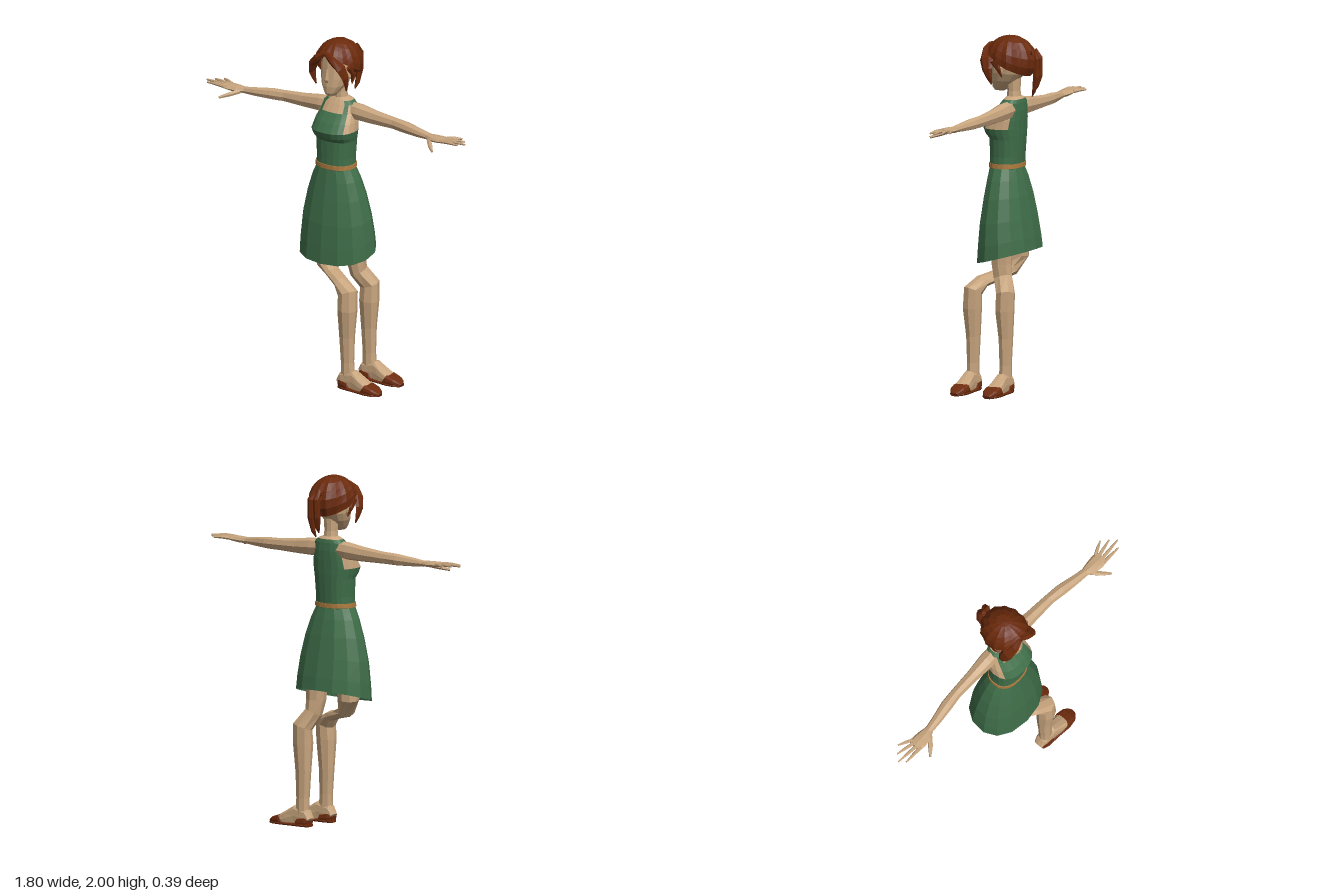
import * as THREE from 'three';

const V = (x, y, z) => new THREE.Vector3(x, y, z);
const pw = (v, p) => Math.sign(v) * Math.abs(v) ** p;

// Faceted surface over a list of equal rings; keep(angle, row) picks quads
function loft(rings, caps = true, keep = () => true) {
  const pos = [], n = rings[0].length;
  const tri = (...p) => p.forEach(v => pos.push(v.x, v.y, v.z));
  for (let k = 0; k < rings.length - 1; k++) {
    for (let i = 0; i < n; i++) {
      if (!keep(((i + 0.5) / n) * 360, k)) continue;
      const j = (i + 1) % n, [a, b, c, d] = [rings[k][i], rings[k][j], rings[k + 1][j], rings[k + 1][i]];
      tri(a, b, c);
      tri(a, c, d);
    }
  }
  if (caps) {
    [rings[0], rings[rings.length - 1]].forEach((r, e) => {
      const m = r.reduce((s, p) => s.add(p), V(0, 0, 0)).divideScalar(n);
      for (let i = 0; i < n; i++) {
        const j = (i + 1) % n;
        if (e) tri(m, r[i], r[j]); else tri(m, r[j], r[i]);
      }
    });
  }
  const g = new THREE.BufferGeometry();
  g.setAttribute('position', new THREE.Float32BufferAttribute(pos, 3));
  g.computeVertexNormals();
  return g;
}

// Limb along points [x, y, z, zRadius, otherRadius]; side mirrors x
function limb(pts, n = 8, side = 1, power = 0.9) {
  const c = pts.map(p => V(p[0] * side, p[1], p[2]));
  return loft(pts.map((p, k) => {
    const t = c[Math.min(k + 1, c.length - 1)].clone().sub(c[Math.max(k - 1, 0)]).normalize();
    const a = V(0, 0, 1).addScaledVector(t, -t.z).normalize();
    const b = t.clone().cross(a);
    return Array.from({ length: n }, (_, i) => {
      const w = (i / n) * Math.PI * 2;
      return c[k].clone().addScaledVector(a, p[3] * pw(Math.cos(w), power))
        .addScaledVector(b, p[4] * pw(Math.sin(w), power));
    });
  }));
}

// Horizontal rings [y, halfWidth, zFront, zBack], listed bottom to top
const stack = (rows, n, power = 0.85, slope = 0) => rows.map(([y, hx, zf, zb], k) =>
  Array.from({ length: n }, (_, i) => {
    const w = (i / n) * Math.PI * 2;
    const z = (zf + zb) / 2 + ((zf - zb) / 2) * pw(Math.cos(w), power);
    return V(hx * pw(Math.sin(w), power), y - z * slope * (1 - k / (rows.length - 1)), z);
  }));

export function createModel() {
  const root = new THREE.Group();
  root.name = 'woman';
  const mat = (name, color, side = THREE.FrontSide) =>
    Object.assign(new THREE.MeshStandardMaterial({ color, side, flatShading: true }), { name });
  const skin = mat('skin', 0xc8a57e);
  const dress = mat('dress green', 0x3f6e49, THREE.DoubleSide);
  const hair = mat('hair brown', 0x6b2a0b, THREE.DoubleSide);
  const shoe = mat('shoe brown', 0x6e2c0e);
  const tan = mat('belt tan', 0xb07c40);
  const add = (name, geo, m) => {
    const mesh = new THREE.Mesh(geo, m);
    mesh.name = name;
    root.add(mesh);
    return mesh;
  };

  // Torso: one surface split into bodice and bare skin
  const torso = stack([
    [1.25, 0.115, 0.105, -0.072], [1.32, 0.112, 0.104, -0.076], [1.42, 0.118, 0.105, -0.082],
    [1.445, 0.125, 0.128, -0.084], [1.48, 0.132, 0.142, -0.085], [1.53, 0.125, 0.11, -0.087],
    [1.58, 0.112, 0.065, -0.087], [1.625, 0.102, 0.035, -0.083], [1.645, 0.08, 0.02, -0.078],
    [1.66, 0.042, 0.008, -0.064],
  ], 20);
  const clothed = (deg, k) => {
    const a = deg > 180 ? 360 - deg : deg;
    if (k >= 8) return false;
    if (a < 36 && k >= 6) return false;
    return !(a > 54 && a < 126 && k >= 4 && k <= 6);
  };
  add('bodice', loft(torso, false, clothed), dress);
  add('chest and shoulders', loft(torso, false, (a, k) => !clothed(a, k)), skin);
  add('neck', loft(stack([[1.64, 0.044, 0.012, -0.066], [1.69, 0.038, 0.01, -0.06], [1.78, 0.04, 0.02, -0.065]], 10)), skin);

  // Skirt with a hem that rises to the back, and belt
  add('skirt', loft(stack([
    [0.755, 0.232, 0.166, -0.165], [0.84, 0.228, 0.16, -0.155], [0.96, 0.214, 0.15, -0.136],
    [1.09, 0.184, 0.132, -0.113], [1.19, 0.15, 0.116, -0.09], [1.26, 0.115, 0.105, -0.072],
  ], 14, 0.9, 0.27), false), dress);
  add('belt', loft(stack([[1.257, 0.12, 0.109, -0.077], [1.282, 0.119, 0.109, -0.077]], 20)), tan);

  // Head
  add('head', loft(stack([
    [1.685, 0.022, 0.092, 0.03], [1.705, 0.04, 0.104, 0], [1.745, 0.066, 0.107, -0.05],
    [1.79, 0.082, 0.104, -0.09], [1.85, 0.088, 0.1, -0.11], [1.92, 0.085, 0.092, -0.1], [1.97, 0.05, 0.05, -0.06],
  ], 14, 0.9)), skin);
  add('nose', limb([[0, 1.845, 0.099, 0.006, 0.007], [0, 1.785, 0.107, 0.013, 0.014], [0, 1.768, 0.101, 0.006, 0.01]], 6), skin);
  for (const s of [1, -1]) {
    add('ear', limb([[0.082, 1.77, 0.022, 0.008, 0.008], [0.09, 1.8, 0.018, 0.017, 0.01], [0.09, 1.83, 0.012, 0.018, 0.01]], 6, s), skin);
  }

  // Hair cap: ridged dome whose lower edge drops from the parting to the nape
  const n = 28, rows = 7;
  const cap = Array.from({ length: rows + 1 }, (_, k) => Array.from({ length: n }, (_, i) => {
    const w = (i / n) * Math.PI * 2, back = (1 - Math.cos(w)) / 2;
    const low = back < 0.5 ? 0.5 - back * 1.3 : -0.15 - (back - 0.5) * 0.95;
    const e = low + (Math.PI / 2 - low) * Math.max(0, k - 1) / (rows - 1);
    const r = Math.cos(e) * (k === 0 ? 0.72 : i % 2 ? 0.96 : 1.01);
    return V(0.13 * r * Math.sin(w), 1.86 + 0.14 * Math.sin(e), -0.006 + 0.15 * r * Math.cos(w));
  }));
  add('hair cap', loft(cap, false), hair);

  // Side locks and ponytail strands
  for (const s of [1, -1]) {
    add('front lock', limb([
      [0.005, 1.945, 0.115, 0.014, 0.014], [0.05, 1.915, 0.122, 0.022, 0.022], [0.094, 1.87, 0.1, 0.038, 0.022],
      [0.115, 1.815, 0.085, 0.03, 0.013], [0.113, 1.77, 0.073, 0.018, 0.009], [0.105, 1.73, 0.062, 0.004, 0.003],
    ], 6, s), hair);
    add('side lock', limb([
      [0.112, 1.87, 0.04, 0.03, 0.014], [0.113, 1.82, 0.015, 0.014, 0.009], [0.1, 1.775, 0.0, 0.004, 0.003],
    ], 6, s), hair);
    add('ponytail strand', limb([
      [0.012, 1.885, -0.125, 0.015, 0.016], [0.018, 1.918, -0.155, 0.016, 0.018], [0.02, 1.88, -0.178, 0.016, 0.02],
      [0.022, 1.78, -0.175, 0.018, 0.02], [0.016, s > 0 ? 1.7 : 1.72, -0.16, 0.012, 0.013],
      [0.01, s > 0 ? 1.665 : 1.69, -0.145, 0.003, 0.004],
    ], 6, s), hair);
  }

  // Arms and hands
  const fingers = [[-0.012, 0.83, -0.05], [0.008, 0.87, -0.018], [0.03, 0.9, 0.018], [0.052, 0.872, 0.052]];
  for (const s of [1, -1]) {
    add('arm', limb([
      [0.07, 1.588, -0.028, 0.045, 0.048], [0.13, 1.585, -0.026, 0.046, 0.05], [0.24, 1.577, -0.024, 0.037, 0.042],
      [0.38, 1.572, -0.022, 0.031, 0.034], [0.47, 1.569, -0.012, 0.034, 0.033], [0.57, 1.564, 0.004, 0.028, 0.025],
      [0.645, 1.561, 0.013, 0.023, 0.018],
    ], 8, s), skin);
    add('palm', limb([
      [0.635, 1.561, 0.012, 0.023, 0.017], [0.68, 1.562, 0.019, 0.038, 0.018],
      [0.73, 1.565, 0.021, 0.044, 0.015], [0.77, 1.567, 0.021, 0.04, 0.011],
    ], 8, s), skin);
    for (const [z0, x1, z1] of fingers) {
      add('finger', limb([
        [0.75, 1.567, z0, 0.01, 0.01], [(0.75 + x1) / 2, 1.571, (z0 + z1) / 2, 0.009, 0.009], [x1, 1.569, z1, 0.004, 0.005],
      ], 6, s), skin);
    }
    add('thumb', limb([
      [0.66, 1.555, 0.035, 0.014, 0.014], [0.7, 1.54, 0.078, 0.014, 0.013], [0.745, 1.523, 0.118, 0.006, 0.007],
    ], 6, s), skin);
  }

  // Legs: thighs under the skirt, shins turned toward +x
  const legs = [
    ['right leg', 0.142, [
      [-0.1, 0.95, 0, 0.068, 0.068], [-0.105, 0.74, 0, 0.058, 0.06], [-0.065, 0.668, 0.03, 0.05, 0.042],
      [0.02, 0.636, 0.07, 0.05, 0.026], [0.11, 0.612, 0.118, 0.05, 0.03],
    ]],
    ['left leg', -0.062, [
      [0.11, 0.95, -0.01, 0.068, 0.062], [0.12, 0.72, -0.01, 0.06, 0.052], [0.128, 0.645, -0.022, 0.056, 0.046],
    ]],
  ];
  for (const [name, z, thigh] of legs) {
    add(name, limb([...thigh,
      [0.175, 0.565, z, 0.052, 0.058], [0.175, 0.47, z + 0.004, 0.053, 0.057], [0.17, 0.31, z, 0.039, 0.046],
      [0.173, 0.16, z, 0.033, 0.039], [0.176, 0.06, z, 0.034, 0.044],
    ]), skin);
    // Foot and shoe cross-sections [x, top, halfWidth]
    const along = (rows) => limb(rows.map(([x, top, h]) => [x, top / 2, z, h, top / 2]), 12, 1, 0.6);
    add('foot', along([[0.13, 0.06, 0.03], [0.15, 0.1, 0.035], [0.22, 0.118, 0.036], [0.27, 0.084, 0.042], [0.33, 0.052, 0.046], [0.37, 0.03, 0.036]]), skin);
    add('shoe heel', along([[0.125, 0.055, 0.03], [0.14, 0.062, 0.038], [0.185, 0.052, 0.043], [0.2, 0.02, 0.044]]), shoe);
    add('shoe sole', along([[0.125, 0.018, 0.03], [0.16, 0.02, 0.043], [0.24, 0.02, 0.046], [0.32, 0.02, 0.053], [0.37, 0.018, 0.045], [0.398, 0.014, 0.022]]), shoe);
    add('shoe toe', along([[0.295, 0.022, 0.05], [0.32, 0.062, 0.052], [0.36, 0.045, 0.047], [0.385, 0.03, 0.034], [0.4, 0.018, 0.016]]), shoe);
  }
  return root;
}
